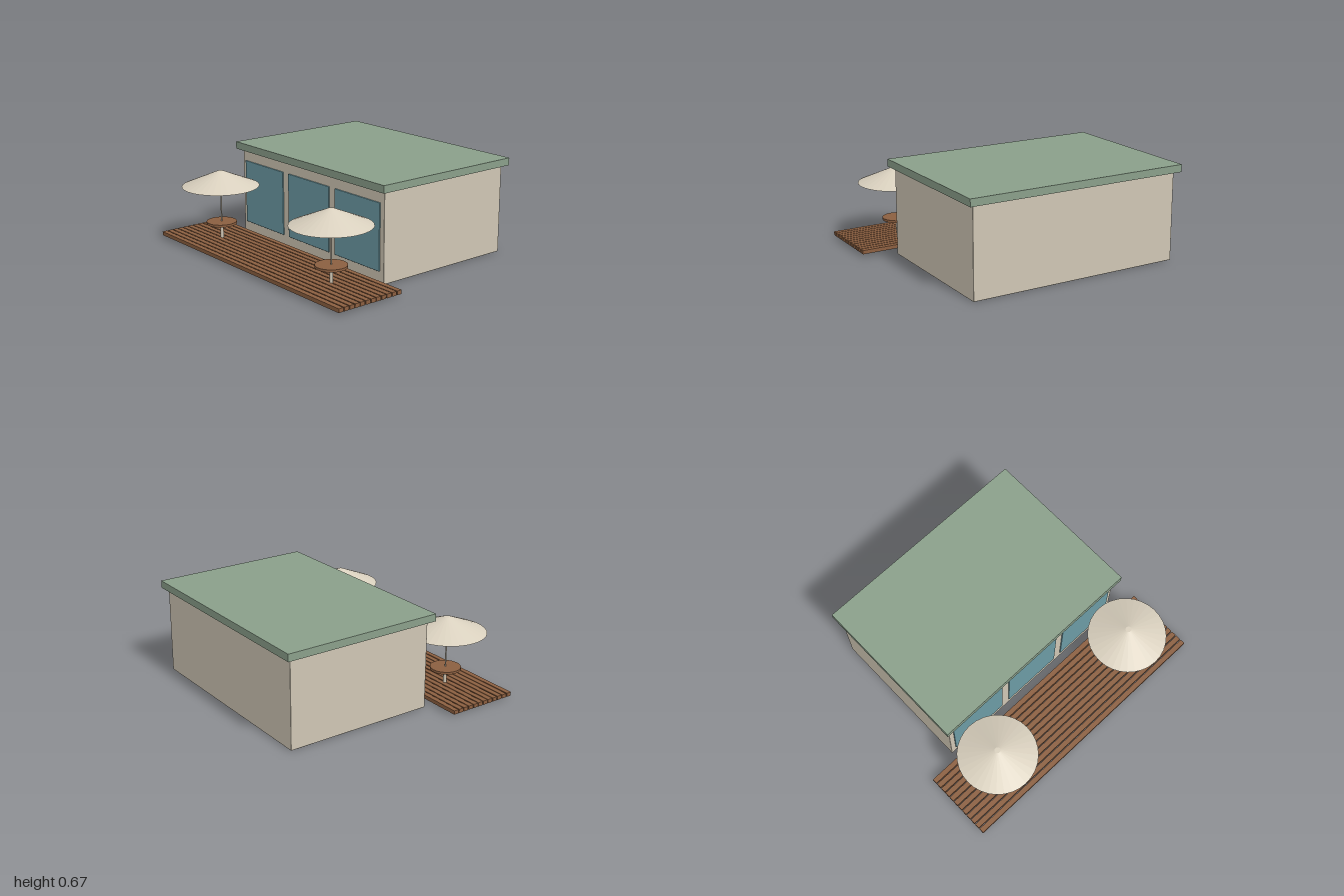
import * as THREE from 'three';
import { RoundedBoxGeometry } from 'three/addons/geometries/RoundedBoxGeometry.js';

const material = (name, color, extra = {}) => {
  const m = new THREE.MeshStandardMaterial({ color, ...extra });
  m.name = name;
  return m;
};

export function createModel() {
  const wall = material('warm plaster', 0xcfc6b4);
  const green = material('sage roof', 0x8a9f8a);
  const glass = material('blue glass', 0x6c9aa4);
  const wood = material('brown wood', 0x8b5f40);
  const canvas = material('cream canvas', 0xd9d0be, { flatShading: true });

  const model = new THREE.Group();
  model.name = 'pavilion';

  const add = (parent, name, geometry, mat, x, y, z) => {
    const mesh = new THREE.Mesh(geometry, mat);
    mesh.name = name;
    mesh.position.set(x, y, z);
    parent.add(mesh);
    return mesh;
  };

  // Building block and overhanging flat roof
  add(model, 'walls', new RoundedBoxGeometry(1.536, 0.622, 1.076, 2, 0.005), wall, 0, 0.311, -0.273);
  add(model, 'roof', new THREE.BoxGeometry(1.608, 0.052, 1.15), green, 0, 0.648, -0.272);

  // Three large front windows
  for (const x of [-0.508, 0, 0.508]) {
    add(model, 'window', new RoundedBoxGeometry(0.448, 0.46, 0.0098, 2, 0.004), glass, x, 0.312, 0.2695);
  }

  // Deck of parallel boards
  const deck = new THREE.Group();
  deck.name = 'deck';
  model.add(deck);
  const boards = 12, pitch = 0.043;
  for (let i = 0; i < boards; i++) {
    add(deck, 'deckBoard', new THREE.BoxGeometry(2, 0.027, 0.036), wood, 0, 0.034, 0.341 + i * pitch);
  }

  // Round tables, each with a parasol
  for (const side of [-1, 1]) {
    const set = new THREE.Group();
    set.name = side < 0 ? 'rightTable' : 'leftTable';
    set.position.set(side * 0.615, 0, 0.573);
    model.add(set);
    add(set, 'tableLeg', new THREE.CylinderGeometry(0.012, 0.012, 0.142, 16), wall, 0, 0.081, 0);
    add(set, 'tableTop', new THREE.CylinderGeometry(0.107, 0.107, 0.017, 32), wood, 0, 0.159, 0);
    add(set, 'parasolPole', new THREE.CylinderGeometry(0.005, 0.005, 0.29, 12), wall, 0, 0.305, 0);
    add(set, 'parasolCanopy', new THREE.CylinderGeometry(0.02, 0.273, 0.108, 32), canvas, 0, 0.482, 0);
  }
  return model;
}
